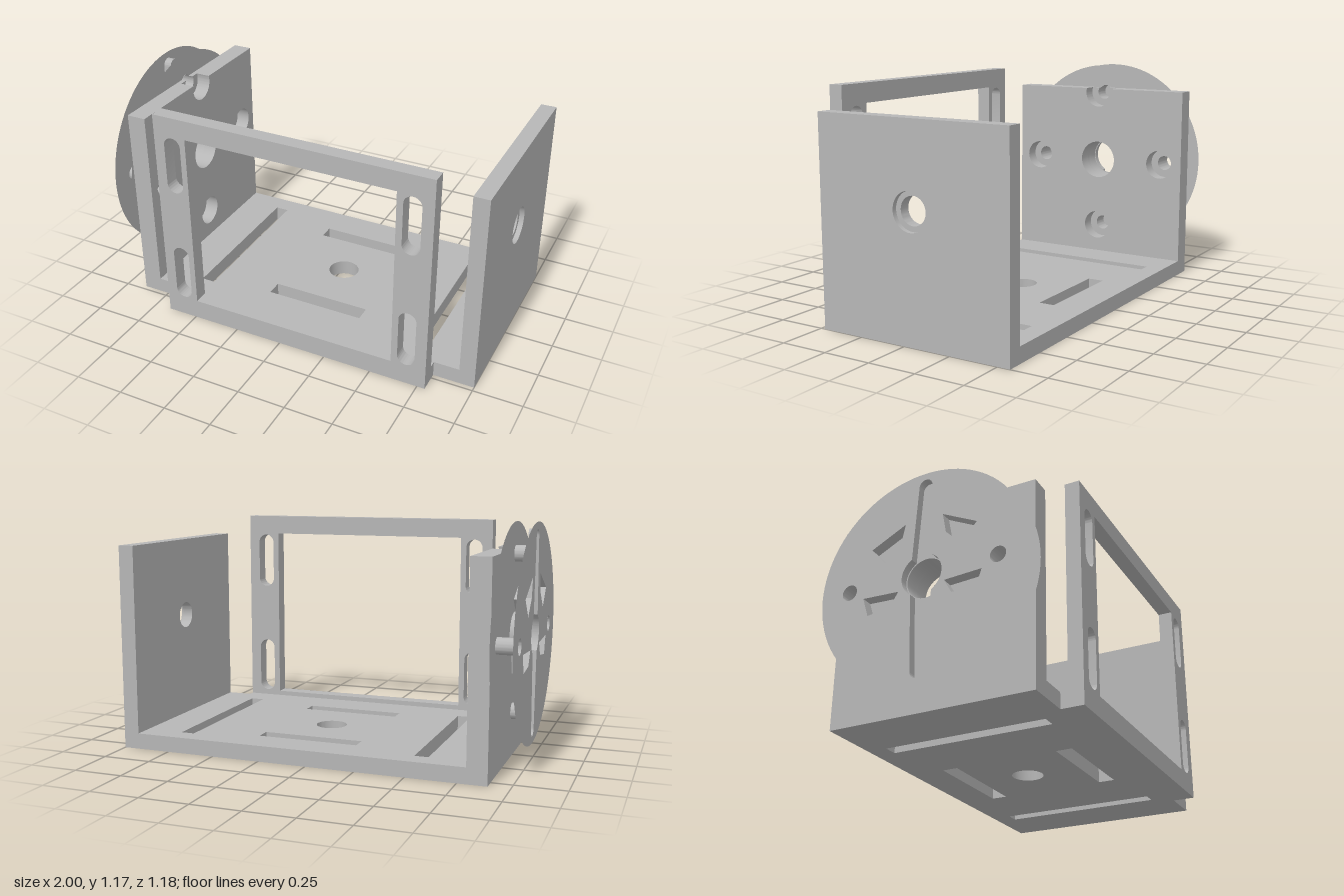
import * as THREE from 'three';
import { toCreasedNormals } from 'three/addons/utils/BufferGeometryUtils.js';

const SEG = 24;
const CY = 0.625;   // height of the pivot axis
const CU = 0.045;   // pivot axis across a side plate (local x = -z)
const PITCH = 0.39; // distance of the screw holes from the axis

const grey = new THREE.MeshStandardMaterial({ color: 0xb6b6b6, side: THREE.DoubleSide });
grey.name = 'grey';

function rect(C, x0, y0, x1, y1) {
  return new C([[x0, y0], [x1, y0], [x1, y1], [x0, y1]].map(p => new THREE.Vector2(...p)));
}

function circle(C, x, y, r) {
  const c = new C();
  c.absarc(x, y, r, 0, Math.PI * 2, false);
  return c;
}

// Upright slot with round ends
function roundSlot(x, y0, y1, r) {
  const p = new THREE.Path();
  p.absarc(x, y1 - r, r, 0, Math.PI, false);
  p.absarc(x, y0 + r, r, Math.PI, Math.PI * 2, false);
  p.closePath();
  return p;
}

function withHoles(shape, holes) {
  shape.holes.push(...holes);
  return shape;
}

function extrude(shape, depth) {
  return new THREE.ExtrudeGeometry(shape, { depth, bevelEnabled: false, curveSegments: SEG });
}

// Only the side walls of an extrusion
function wallsOnly(shape, depth) {
  const g = extrude(shape, depth);
  const start = g.groups[1].start;
  const out = new THREE.BufferGeometry();
  out.setAttribute('position', new THREE.BufferAttribute(g.attributes.position.array.slice(start * 3), 3));
  out.computeVertexNormals();
  return out;
}

function add(group, name, geometry) {
  const mesh = new THREE.Mesh(toCreasedNormals(geometry, 0.5), grey);
  mesh.name = name;
  group.add(mesh);
  return mesh;
}

// Turn a profile in (-z, y) so that its depth runs along +x
function addSide(group, name, geometry, x) {
  const mesh = add(group, name, geometry);
  mesh.rotation.y = Math.PI / 2;
  mesh.position.x = x;
}

// Side plate with screw holes of radius r, the top one cutting the upper edge
function servoWall(r) {
  const s = new THREE.Shape();
  const top = 1.04;
  const a = Math.asin((top - CY - PITCH) / r);
  s.moveTo(-0.475, 0);
  s.lineTo(0.565, 0);
  s.lineTo(0.565, top);
  s.absarc(CU, CY + PITCH, r, a, Math.PI - a, true);
  s.lineTo(-0.475, top);
  s.closePath();
  return withHoles(s, [
    circle(THREE.Path, CU, CY, 0.105),
    circle(THREE.Path, CU - PITCH, CY, r),
    circle(THREE.Path, CU + PITCH, CY, r),
    circle(THREE.Path, CU, CY - PITCH, r),
  ]);
}

// Centre hole with two long tapering arms
function hornOutline(C) {
  const p = new C();
  const R = 0.105, a = Math.asin(0.055 / R), h = Math.PI / 2;
  const tip = 0.035, reach = 0.51 - tip;
  p.absarc(CU, CY, R, -h + a, h - a, false);
  p.absarc(CU, CY + reach, tip, 0, Math.PI, false);
  p.absarc(CU, CY, R, h + a, 3 * h - a, false);
  p.absarc(CU, CY - reach, tip, Math.PI, Math.PI * 2, false);
  p.closePath();
  return p;
}

function pocketOutlines(C) {
  const upper = [[0.1, 0.29], [0.28, 0.2], [0.2, 0.11], [0.12, 0.19]];
  const lower = [[0.12, -0.06], [0.31, -0.05], [0.28, -0.145], [0.16, -0.13]];
  const out = [];
  for (const side of [-1, 1])
    for (const pts of [upper, lower])
      out.push(new C(pts.map(([u, v]) => new THREE.Vector2(CU + side * u, CY + v))));
  return out;
}

function createDisc() {
  const g = new THREE.Group();
  g.name = 'mountingDisc';
  const R = 0.545, hole = 0.04;
  const sideHoles = C => [-1, 1].map(s => circle(C, CU + s * PITCH, CY, hole));
  const armHoles = C => [-1, 1].map(s => circle(C, CU, CY + s * PITCH, hole));
  const face = shape => new THREE.ShapeGeometry(shape, SEG * 2);

  // Outer and inner faces of the open-rimmed disc
  addSide(g, 'discOuterFace', face(withHoles(circle(THREE.Shape, CU, CY, R),
    [hornOutline(THREE.Path), ...pocketOutlines(THREE.Path), ...sideHoles(THREE.Path)])), -1);
  addSide(g, 'discInnerFace', face(withHoles(circle(THREE.Shape, CU, CY, R),
    [circle(THREE.Path, CU, CY, 0.105), ...sideHoles(THREE.Path), ...armHoles(THREE.Path)])), -0.896);

  // Recess for the horn
  addSide(g, 'hornRecessWall', wallsOnly(hornOutline(THREE.Shape), 0.04), -1);
  addSide(g, 'hornRecessFloor', face(withHoles(hornOutline(THREE.Shape),
    [circle(THREE.Path, CU, CY, 0.1), ...armHoles(THREE.Path)])), -0.96);
  addSide(g, 'centreBore', wallsOnly(circle(THREE.Shape, CU, CY, 0.105), 0.065), -0.96);

  // Screw bores
  for (const s of sideHoles(THREE.Shape)) addSide(g, 'sideBore', wallsOnly(s, 0.105), -1);
  for (const s of armHoles(THREE.Shape)) addSide(g, 'armBore', wallsOnly(s, 0.065), -0.96);

  // Small pockets around the horn
  for (const s of pocketOutlines(THREE.Shape)) {
    addSide(g, 'pocketWall', wallsOnly(s, 0.055), -1);
    addSide(g, 'pocketFloor', face(s), -0.945);
  }
  return g;
}

export function createModel() {
  const model = new THREE.Group();
  model.name = 'panTiltBracket';

  // Base plate with the tongue that carries the front frame (local y = -z)
  const outline = [[-0.895, 0.565], [-0.895, -0.475], [-0.66, -0.475], [-0.66, -0.515],
    [0.79, -0.515], [0.79, -0.475], [1, -0.475], [1, 0.565]];
  const base = withHoles(new THREE.Shape(outline.map(p => new THREE.Vector2(...p))), [
    rect(THREE.Path, -0.59, -0.37, -0.52, 0.465),
    rect(THREE.Path, 0.655, -0.37, 0.725, 0.465),
    rect(THREE.Path, -0.2, 0.308, 0.32, 0.388),
    rect(THREE.Path, -0.2, -0.318, 0.32, -0.235),
    circle(THREE.Path, 0.06, 0.045, 0.08),
  ]);
  add(model, 'basePlate', extrude(base, 0.08)).rotation.x = -Math.PI / 2;

  // Front frame with a window and four slots
  const frame = withHoles(rect(THREE.Shape, -0.66, 0, 0.79, 1.145), [
    rect(THREE.Path, -0.485, 0.105, 0.61, 1.045),
    ...[-0.56, 0.687].flatMap(x => [roundSlot(x, 0.11, 0.412, 0.045), roundSlot(x, 0.735, 1.037, 0.045)]),
  ]);
  add(model, 'frontFrame', extrude(frame, 0.075)).position.z = 0.513;

  // Pivot wall with a counterbored hole on its outside
  const pivotWall = r => withHoles(rect(THREE.Shape, -0.475, 0, 0.565, 1.04), [circle(THREE.Path, CU, CY, r)]);
  addSide(model, 'pivotWall', extrude(pivotWall(0.069), 0.055), 0.92);
  addSide(model, 'pivotWallOuterLayer', extrude(pivotWall(0.095), 0.025), 0.975);

  // Servo wall with counterbored screw holes on its inside
  addSide(model, 'servoWallOuterLayer', extrude(servoWall(0.04), 0.025), -0.895);
  addSide(model, 'servoWall', extrude(servoWall(0.08), 0.075), -0.87);

  model.add(createDisc());
  return model;
}
